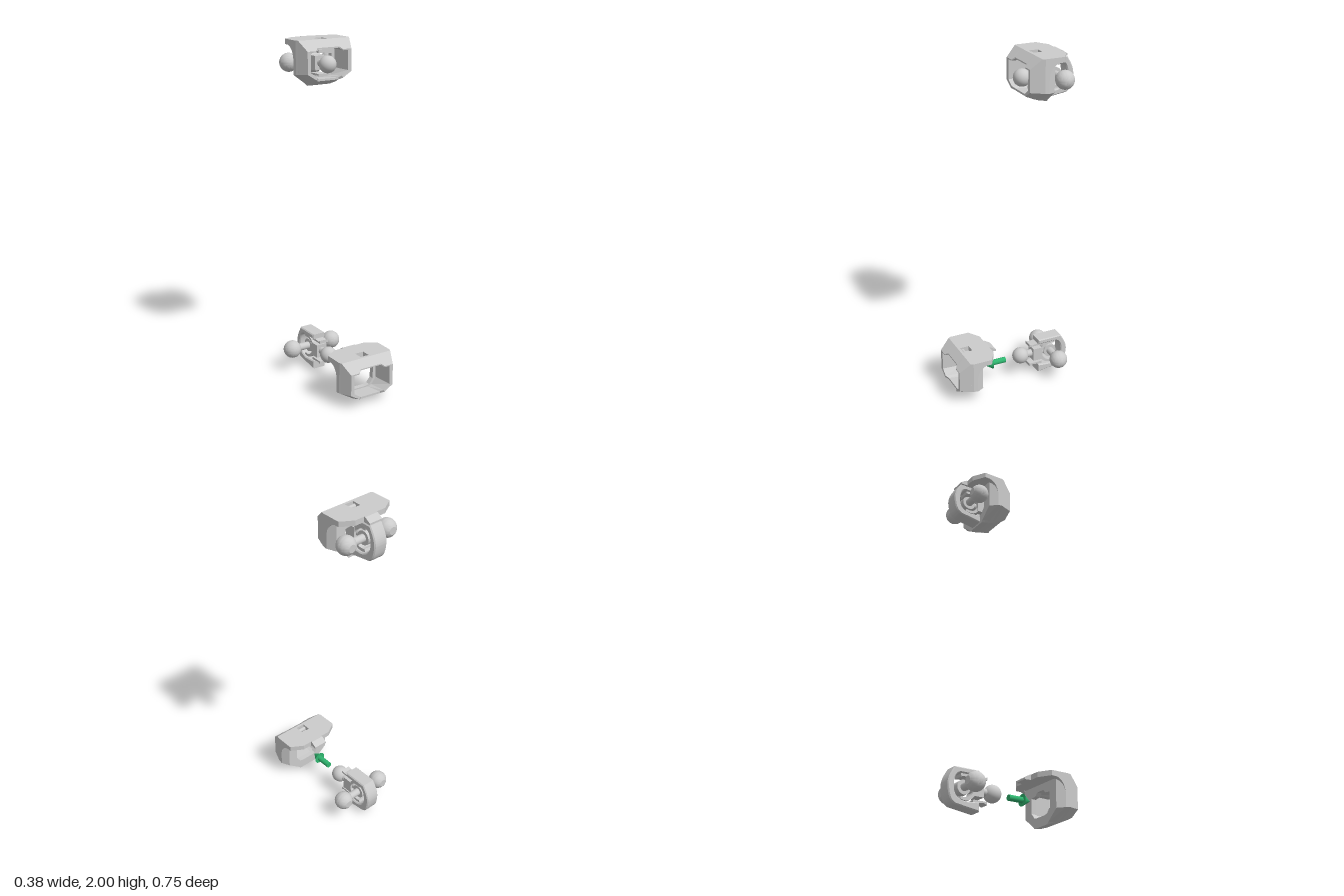
import * as THREE from 'three';
import { toCreasedNormals } from 'three/addons/utils/BufferGeometryUtils.js';

const grey = new THREE.MeshStandardMaterial({ color: 0xcccccc, side: THREE.DoubleSide });
const faceted = new THREE.MeshStandardMaterial({ color: 0xcccccc, flatShading: true, side: THREE.DoubleSide });
const green = new THREE.MeshStandardMaterial({ color: 0x2fb56f });

function add(parent, name, geometry, material = grey) {
  const mesh = new THREE.Mesh(geometry, material);
  mesh.name = name;
  parent.add(mesh);
  return mesh;
}

const toShape = (pts) => new THREE.Shape(pts.map(([x, y]) => new THREE.Vector2(x, y)));

// Extrude a (z, y) side profile across x, centred on cx
function sideExtrude(shape, width, cx = 0, bevel = 0) {
  const depth = width - 2 * bevel;
  const g = new THREE.ExtrudeGeometry(shape, {
    depth, curveSegments: 20, bevelEnabled: bevel > 0,
    bevelSize: bevel, bevelThickness: bevel, bevelOffset: -bevel, bevelSegments: 1,
  });
  g.translate(0, 0, -depth / 2).rotateY(-Math.PI / 2).translate(cx, 0, 0);
  return toCreasedNormals(g, 0.5);
}

// Half sections [x, y, z] mirrored into loops and skinned into a closed tunnel
function loft(halves) {
  const loops = halves.map((h) => [...h, ...h.map(([x, y, z]) => [-x, y, z]).reverse()]);
  const n = loops[0].length, index = [];
  loops.forEach((_, k) => {
    const p = k * n, q = ((k + 1) % loops.length) * n;
    for (let i = 0; i < n; i++) {
      const j = (i + 1) % n;
      index.push(p + i, q + i, q + j, p + i, q + j, p + j);
    }
  });
  const g = new THREE.BufferGeometry();
  g.setAttribute('position', new THREE.Float32BufferAttribute(loops.flat(2), 3));
  g.setIndex(index);
  const flat = g.toNonIndexed();
  flat.computeVertexNormals();
  return flat;
}

const at = (z, pts) => pts.map(([x, y]) => [x, y, z]);

function makeShell() {
  const shell = new THREE.Group();
  shell.name = 'shell';

  // Hollow body: outside from back to front, then inside and through the rear wall
  const hole = [[0.03, 0.198], [0.045, 0.18], [0.085, 0.175], [0.085, 0.09], [0.06, 0.06], [0.035, 0.055]];
  add(shell, 'shellBody', loft([
    at(0.23, [[0.07, 0.235], [0.087, 0.235], [0.145, 0.235], [0.145, 0.07], [0.07, 0.012], [0.06, 0]]),
    at(0.275, [[0.07, 0.235], [0.087, 0.235], [0.172, 0.235], [0.172, 0.075], [0.075, 0.016], [0.062, 0.008]]),
    at(0.30, [[0.07, 0.235], [0.087, 0.235], [0.172, 0.235], [0.172, 0.08], [0.078, 0.025], [0.065, 0.017]]),
    at(0.3149, [[0.07, 0.235], [0.087, 0.235], [0.166, 0.235], [0.166, 0.08], [0.08, 0.03], [0.066, 0.022]]),
    at(0.315, [[0.07, 0.265], [0.087, 0.265], [0.166, 0.265], [0.166, 0.08], [0.08, 0.03], [0.066, 0.022]]),
    [[0.07, 0.224, 0.36], [0.087, 0.21, 0.376], [0.142, 0.21, 0.376], [0.142, 0.085, 0.376], [0.087, 0.052, 0.376], [0.07, 0.042, 0.36]],
    [[0.07, 0.217, 0.36], [0.087, 0.203, 0.375], [0.12, 0.203, 0.375], [0.12, 0.092, 0.375], [0.08, 0.064, 0.375], [0.065, 0.053, 0.36]],
    at(0.26, [[0.07, 0.205], [0.087, 0.205], [0.105, 0.2], [0.105, 0.095], [0.075, 0.055], [0.05, 0.048]]),
    at(0.26, hole),
    at(0.23, hole),
  ]), faceted);

  // Roof plate with a rectangular pocket
  const half = [[0.166, 0.315], [0.172, 0.30], [0.172, 0.185], [0.1, 0.141]];
  const roof = toShape([...half, ...half.map(([x, z]) => [-x, z]).reverse()]);
  roof.holes.push(new THREE.Path([[-0.027, 0.245], [-0.027, 0.3], [0.027, 0.3], [0.027, 0.245]].map((p) => new THREE.Vector2(...p))));
  const plate = new THREE.ExtrudeGeometry(roof, { depth: 0.03, bevelEnabled: false });
  plate.rotateX(Math.PI / 2).translate(0, 0.265, 0);
  add(shell, 'roofPlate', plate, faceted);

  // Rounded bar in the pocket
  const bar = new THREE.CylinderGeometry(0.013, 0.013, 0.05, 20);
  add(shell, 'pocketBar', bar.rotateZ(Math.PI / 2).translate(0, 0.244, 0.286));

  // Sloping rear tab
  const tab = toShape([[0.145, 0.265], [0.134, 0.265], [0.1, 0.243], [0.1, 0.233], [0.145, 0.235]]);
  add(shell, 'rearTab', sideExtrude(tab, 0.084), faceted);

  // Curved gussets blending the side walls into the roof
  const gusset = new THREE.Shape();
  gusset.moveTo(0.28, 0.15);
  gusset.lineTo(0.272, 0.17);
  gusset.quadraticCurveTo(0.262, 0.228, 0.205, 0.237);
  gusset.lineTo(0.28, 0.237);
  for (const s of [-1, 1]) add(shell, 'roofGusset', sideExtrude(gusset, 0.032, s * 0.156));
  return shell;
}

function makeJoint() {
  const joint = new THREE.Group();
  joint.name = 'joint';
  const cy = 0.13, cz = -0.27;

  // Housing bent around the axle, open to the front
  const housing = new THREE.Shape();
  housing.moveTo(-0.185, 0.23);
  housing.lineTo(-0.335, 0.23);
  housing.bezierCurveTo(-0.36, 0.19, -0.378, 0.16, -0.376, 0.12);
  housing.bezierCurveTo(-0.37, 0.06, -0.355, 0.03, -0.32, 0.026);
  housing.lineTo(-0.185, 0.008);
  housing.lineTo(-0.185, 0.058);
  housing.lineTo(-0.27, 0.052);
  housing.bezierCurveTo(-0.325, 0.06, -0.338, 0.09, -0.338, 0.125);
  housing.bezierCurveTo(-0.338, 0.17, -0.325, 0.198, -0.295, 0.2);
  housing.lineTo(-0.185, 0.2);
  add(joint, 'housing', sideExtrude(housing, 0.084, 0, 0.006));

  // Socket ring gripping the axle
  const ring = new THREE.Shape();
  ring.absarc(cz, cy, 0.072, -1.95, 1.95, false);
  ring.absarc(cz, cy, 0.056, 1.95, -1.95, true);
  add(joint, 'socketRing', sideExtrude(ring, 0.066));

  // Axle with flat-backed end balls
  const axle = new THREE.CylinderGeometry(0.022, 0.022, 0.22, 24);
  add(joint, 'axle', axle.rotateZ(Math.PI / 2).translate(0, cy, cz));
  const hub = new THREE.CylinderGeometry(0.04, 0.04, 0.05, 28);
  add(joint, 'axleHub', hub.rotateZ(Math.PI / 2).translate(0, cy, cz));
  const profile = [];
  const cut = Math.acos(0.048 / 0.053);
  for (let i = 0; i <= 20; i++) {
    const a = Math.PI + (cut - Math.PI) * (i / 20);
    profile.push(new THREE.Vector2(Math.max(0, 0.053 * Math.sin(a)), 0.053 * Math.cos(a)));
  }
  profile.push(new THREE.Vector2(0, 0.048));
  for (const s of [-1, 1]) {
    const ball = new THREE.LatheGeometry(profile, 32).rotateX(-Math.PI / 2).translate(s * 0.138, cy, cz);
    add(joint, 'sideBall', toCreasedNormals(ball, 0.35));
  }

  // Front ball, neck and block
  add(joint, 'frontBall', new THREE.SphereGeometry(0.049, 32, 20).translate(0, cy, -0.082));
  const neck = new THREE.CylinderGeometry(0.022, 0.022, 0.17, 24);
  add(joint, 'neck', neck.rotateX(Math.PI / 2).translate(0, cy, -0.185));
  add(joint, 'neckBlock', new THREE.BoxGeometry(0.07, 0.08, 0.06).translate(0, cy, -0.185));

  // Clip tongues above and below the neck
  for (const s of [-1, 1]) {
    const clip = toShape([[-0.215, cy + s * 0.058], [-0.13, cy + s * 0.058], [-0.13, cy + s * 0.075], [-0.15, cy + s * 0.067], [-0.215, cy + s * 0.074]]);
    add(joint, 'clipTongue', sideExtrude(clip, 0.056), faceted);
  }
  return joint;
}

function makeArrow() {
  const arrow = new THREE.Group();
  arrow.name = 'arrow';
  const shaft = new THREE.CylinderGeometry(0.017, 0.017, 0.09, 24);
  add(arrow, 'arrowShaft', shaft.rotateX(Math.PI / 2).translate(0, 0.128, 0.066), green);
  const head = new THREE.ConeGeometry(0.035, 0.052, 28);
  add(arrow, 'arrowHead', head.rotateX(Math.PI / 2).translate(0, 0.128, 0.135), green);
  return arrow;
}

export function createModel() {
  const model = new THREE.Group();
  model.name = 'jointAssembly';

  // Separated parts below
  const separated = new THREE.Group();
  separated.name = 'separatedParts';
  separated.add(makeShell(), makeJoint(), makeArrow());

  // Assembled parts above
  const assembled = new THREE.Group();
  assembled.name = 'assembledParts';
  const shell = makeShell();
  shell.position.z = -0.435;
  assembled.add(shell, makeJoint());
  assembled.position.y = 1.735;

  model.add(separated, assembled);
  return model;
}
